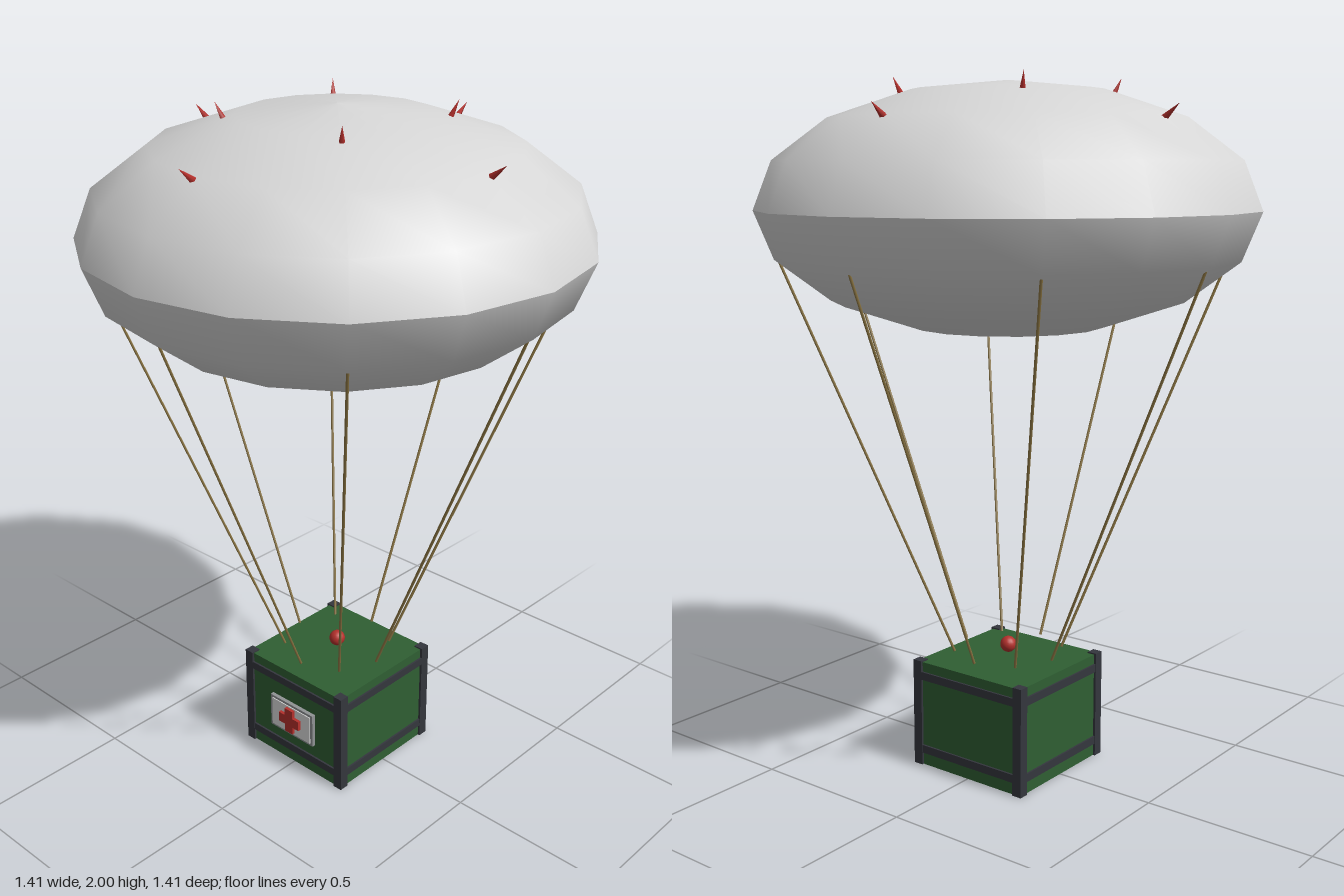
import * as THREE from 'three';

function mat(name, color, side = THREE.FrontSide) {
  const m = new THREE.MeshStandardMaterial({ color, side });
  m.name = name;
  return m;
}

export function createModel() {
  const root = new THREE.Group();
  const cloth = mat('canopy cloth', 0xd6d6d6, THREE.DoubleSide);
  const rope = mat('rope tan', 0x8a7442);
  const green = mat('crate green', 0x2f5f33);
  const dark = mat('frame charcoal', 0x34363d);
  const red = mat('signal red', 0xb5302c);
  const white = mat('sign white', 0xdcdcdc);
  const grey = mat('sign border grey', 0x8f9294);

  const add = (name, geo, m, x = 0, y = 0, z = 0) => {
    const mesh = new THREE.Mesh(geo, m);
    mesh.name = name;
    mesh.position.set(x, y, z);
    root.add(mesh);
    return mesh;
  };
  const box = (name, m, w, h, d, x, y, z) => add(name, new THREE.BoxGeometry(w, h, d), m, x, y, z);
  // Tapered rod between two points
  const rod = (name, m, a, b, r0, r1, sides) => {
    const dir = b.clone().sub(a);
    const mesh = add(name, new THREE.CylinderGeometry(r1, r0, dir.length(), sides), m);
    mesh.position.copy(a).addScaledVector(dir, 0.5);
    mesh.quaternion.setFromUnitVectors(new THREE.Vector3(0, 1, 0), dir.normalize());
    return mesh;
  };

  // Canopy: two domes meeting at a crisp rim
  const R = 0.707, H = 0.353, RIM = 1.638;
  const dome = (from, to) => {
    const pts = [];
    for (let i = 0; i <= 4; i++) {
      const a = from + (to - from) * i / 4;
      pts.push(new THREE.Vector2(Math.max(0, R * Math.cos(a)), H * Math.sin(a)));
    }
    return new THREE.LatheGeometry(pts, 16);
  };
  add('canopyTop', dome(0, Math.PI / 2), cloth, 0, RIM, 0);
  add('canopyUnderside', dome(-Math.PI / 2, 0), cloth, 0, RIM, 0);

  // Suspension ropes and canopy spikes
  for (let i = 0; i < 8; i++) {
    const a = i * Math.PI / 4;
    const at = (r, y) => new THREE.Vector3(r * Math.cos(a), y, r * Math.sin(a));
    rod('rope', rope, at(0.16, 0.345), at(0.638, 1.495), 0.004, 0.004, 6);
    if (i % 2) rod('spike', red, at(0.295, 1.95), at(0.318, 1.998), 0.009, 0, 5);
    else rod('spike', red, at(0.502, 1.878), at(0.55, 1.916), 0.011, 0, 5);
  }

  // Crate body and ball on top
  box('crate', green, 0.386, 0.32, 0.386, 0, 0.16, 0);
  add('topBall', new THREE.SphereGeometry(0.024, 16, 12), red, 0, 0.36, 0);

  // Crate frame: corner posts and rails on all four sides
  for (const s of [-1, 1]) {
    for (const t of [-1, 1]) box('cornerPost', dark, 0.03, 0.324, 0.03, s * 0.185, 0.162, t * 0.185);
    for (const y of [0.05, 0.279]) {
      box('railFrontBack', dark, 0.36, 0.024, 0.012, 0, y, s * 0.193);
      box('railSide', dark, 0.012, 0.024, 0.36, s * 0.193, y, 0);
    }
  }

  // Front sign with a cross
  box('signBorder', grey, 0.176, 0.11, 0.012, 0, 0.16, 0.199);
  box('signPanel', white, 0.158, 0.094, 0.004, 0, 0.16, 0.206);
  const cross = new THREE.Shape();
  const L = 0.041, W = 0.016;
  [[-W, -L], [W, -L], [W, -W], [L, -W], [L, W], [W, W], [W, L], [-W, L], [-W, W], [-L, W], [-L, -W], [-W, -W]]
    .forEach(([x, y], i) => (i ? cross.lineTo(x, y) : cross.moveTo(x, y)));
  add('signCross', new THREE.ExtrudeGeometry(cross, { depth: 0.012, bevelEnabled: false }), red, 0, 0.162, 0.206);

  return root;
}
